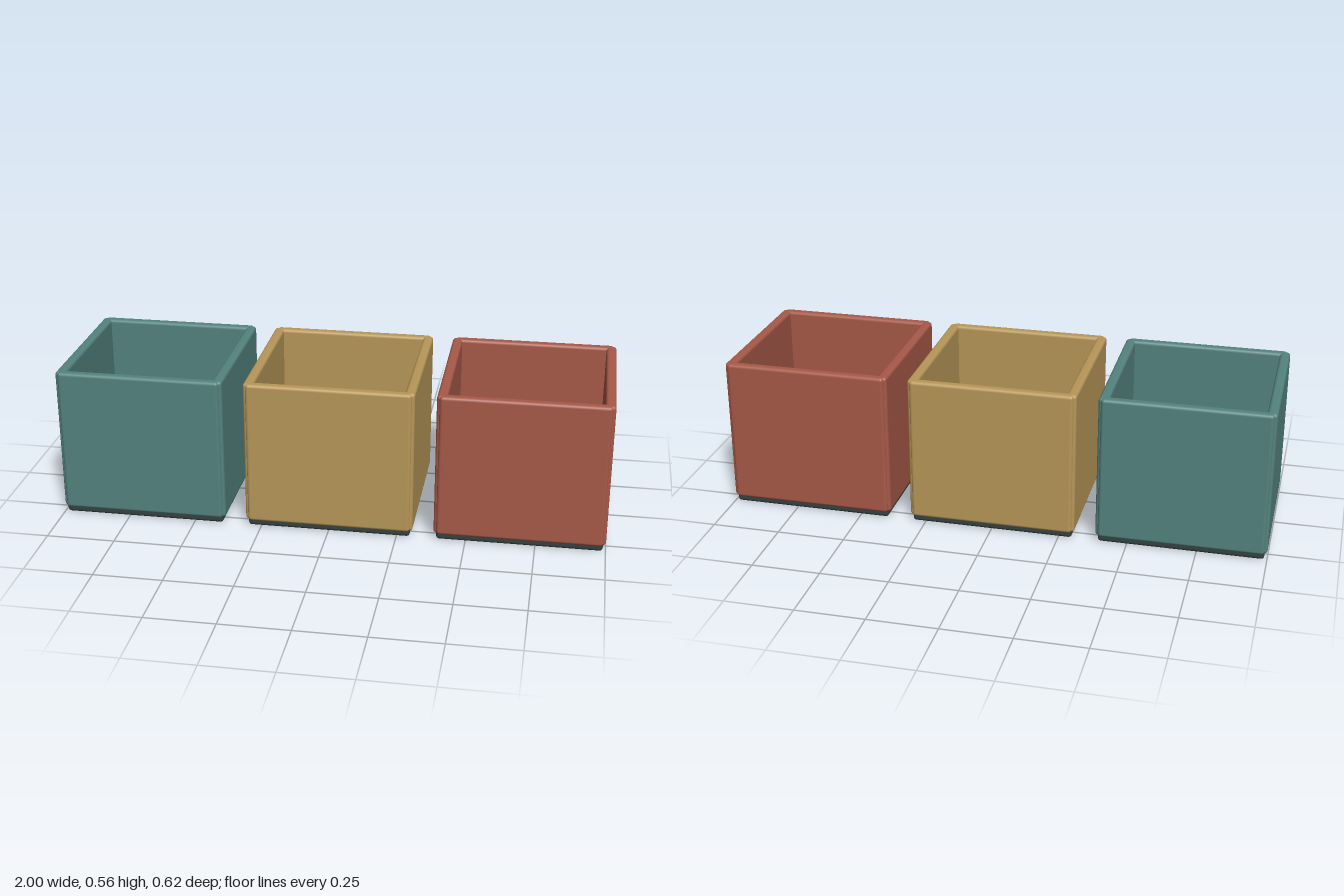
import * as THREE from 'three';
import { RoundedBoxGeometry } from 'three/addons/geometries/RoundedBoxGeometry.js';

const OUTER = 0.308; // half width of a bin
const INNER = 0.298; // half length of a wall panel
const WALL = 0.037;
const BOTTOM = 0.023;
const TOP = 0.56;
const SPACING = 0.692;

function material(name, color) {
  const m = new THREE.MeshStandardMaterial({ color });
  m.name = name;
  return m;
}

function panel(name, size, position, mat) {
  const mesh = new THREE.Mesh(new RoundedBoxGeometry(...size, 3, 0.012), mat);
  mesh.name = name;
  mesh.position.set(...position);
  return mesh;
}

// Open-topped square bin: a dark floor slab and four rounded wall panels
function createBin(name, wallMat, floorMat) {
  const bin = new THREE.Group();
  bin.name = name;
  const height = TOP - BOTTOM;
  const midY = (TOP + BOTTOM) / 2;
  const offset = OUTER - WALL / 2;

  bin.add(panel('floor', [INNER * 2, 0.038, INNER * 2], [0, 0.019, 0], floorMat));
  for (const s of [1, -1]) {
    bin.add(panel(s > 0 ? 'frontWall' : 'backWall', [INNER * 2, height, WALL], [0, midY, s * offset], wallMat));
    bin.add(panel(s > 0 ? 'leftWall' : 'rightWall', [WALL, height, INNER * 2], [s * offset, midY, 0], wallMat));
  }
  return bin;
}

export function createModel() {
  const model = new THREE.Group();
  model.name = 'storageBins';
  const dark = material('charcoal', 0x364242);
  const bins = [
    ['tealBin', material('teal', 0x54837f)],
    ['ochreBin', material('ochre', 0xb79758)],
    ['redBin', material('brick red', 0xa75948)],
  ];

  // Row of three bins along x
  bins.forEach(([name, mat], i) => {
    const bin = createBin(name, mat, dark);
    bin.position.x = (i - 1) * SPACING;
    model.add(bin);
  });
  return model;
}
